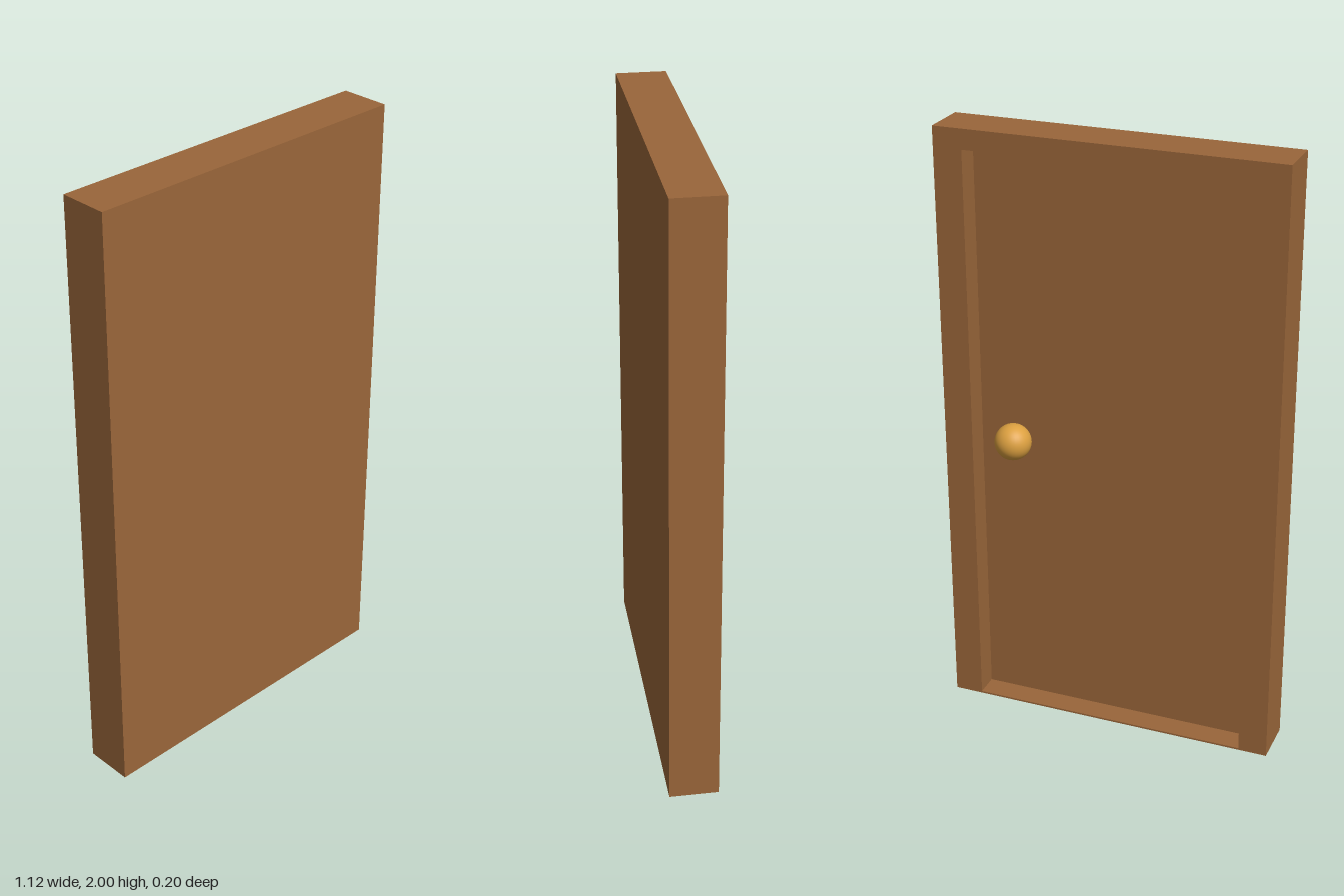
import * as THREE from 'three';

const WIDTH = 1.12, HEIGHT = 2, BACK = -0.06, FRONT = 0.1;
const PANEL_BACK = 0.02, SIDE = 0.095, TOP = 0.065, SILL = 0.006;

export function createModel() {
  const model = new THREE.Group();
  model.name = 'door';
  const wood = new THREE.MeshStandardMaterial({ color: 0x9a663a });
  const brass = new THREE.MeshStandardMaterial({ color: 0xdca040 });

  const add = (name, geometry, material, x, y, z) => {
    const mesh = new THREE.Mesh(geometry, material);
    mesh.name = name;
    mesh.position.set(x, y, z);
    model.add(mesh);
  };

  // Frame: full-depth surround with a very thin sill
  const w = WIDTH / 2, inner = w - SIDE, head = HEIGHT - TOP;
  const outline = new THREE.Shape([
    new THREE.Vector2(-w, 0), new THREE.Vector2(w, 0),
    new THREE.Vector2(w, HEIGHT), new THREE.Vector2(-w, HEIGHT),
  ]);
  outline.holes.push(new THREE.Path([
    new THREE.Vector2(-inner, SILL), new THREE.Vector2(-inner, head),
    new THREE.Vector2(inner, head), new THREE.Vector2(inner, SILL),
  ]));
  const frame = new THREE.ExtrudeGeometry(outline, { depth: FRONT - BACK, bevelEnabled: false });
  add('frame', frame, wood, 0, 0, BACK);

  // Door panel: flush at the front, recessed at the back
  const panel = new THREE.BoxGeometry(inner * 2, head - SILL, FRONT - PANEL_BACK);
  add('doorPanel', panel, wood, 0, (head + SILL) / 2, (FRONT + PANEL_BACK) / 2);

  // Round knob resting against the recessed face
  add('knob', new THREE.SphereGeometry(0.06, 32, 24), brass, 0.33, 0.98, -0.04);

  return model;
}
